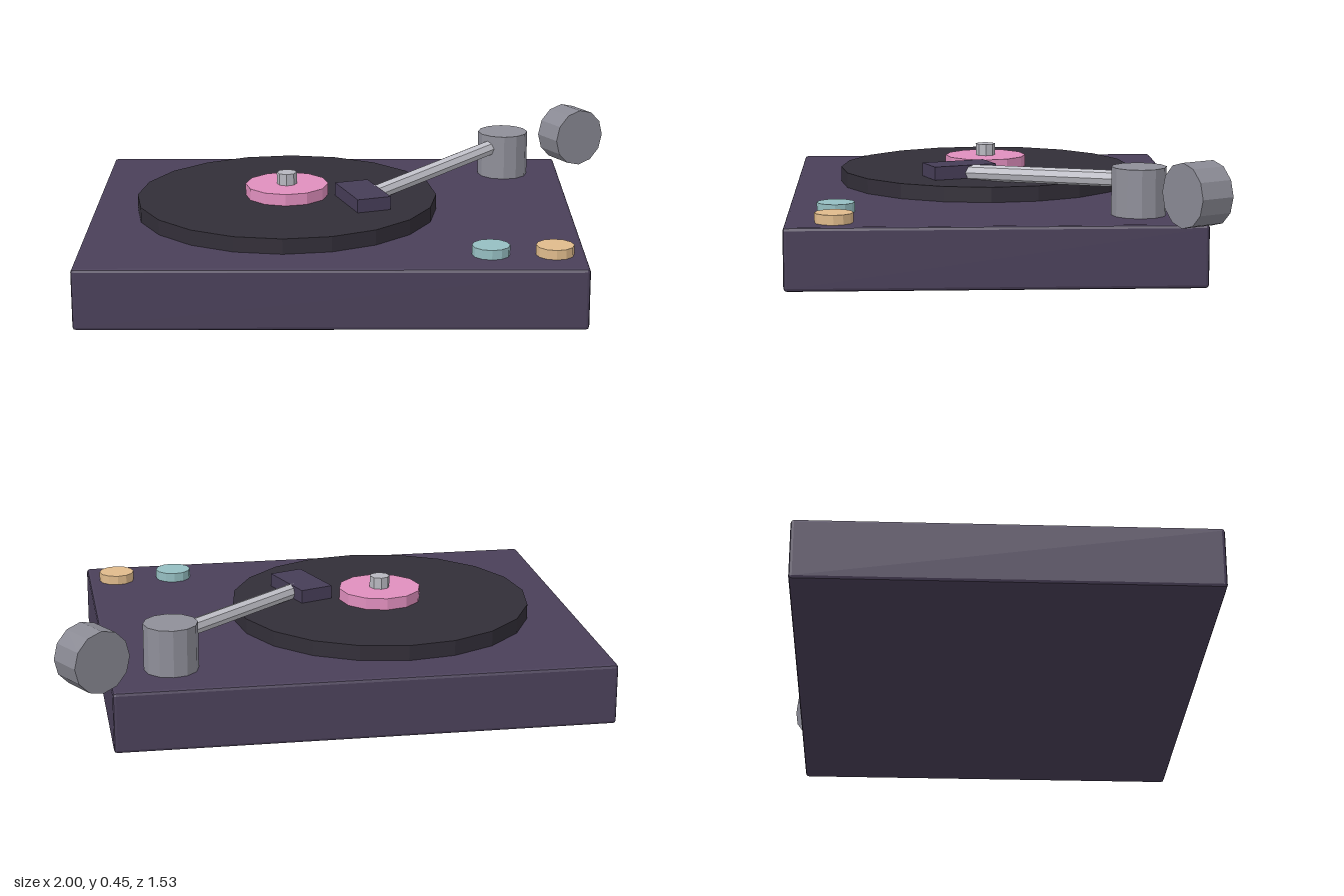
import * as THREE from 'three';
import { RoundedBoxGeometry } from 'three/addons/geometries/RoundedBoxGeometry.js';

export function createModel() {
  const model = new THREE.Group();
  model.name = 'turntable';

  const add = (name, geometry, color, x, y, z) => {
    const material = new THREE.MeshStandardMaterial({ color, flatShading: true });
    const mesh = new THREE.Mesh(geometry, material);
    mesh.name = name;
    mesh.position.set(x, y, z);
    model.add(mesh);
    return mesh;
  };
  // Upright disc from height y0 to y1
  const disc = (name, color, r, sides, x, y0, y1, z) =>
    add(name, new THREE.CylinderGeometry(r, r, y1 - y0, sides), color, x, (y0 + y1) / 2, z);
  // Cylinder between two points
  const rod = (name, color, r, sides, a, b) => {
    const dir = b.clone().sub(a);
    const mid = a.clone().add(b).multiplyScalar(0.5);
    const mesh = add(name, new THREE.CylinderGeometry(r, r, dir.length(), sides), color, mid.x, mid.y, mid.z);
    mesh.quaternion.setFromUnitVectors(new THREE.Vector3(0, 1, 0), dir.normalize());
    return mesh;
  };

  // Plinth with small chamfers
  add('plinth', new RoundedBoxGeometry(1.805, 0.225, 1.47, 1, 0.012), 0x4a4059, -0.0975, 0.1125, 0.03);

  // Record, its label and the spindle
  disc('record', 0x322e38, 0.565, 20, -0.27, 0.22, 0.282, 0.027);
  disc('label', 0xe08fbe, 0.156, 12, -0.27, 0.275, 0.326, 0.027);
  disc('spindle', 0xb8b8c0, 0.038, 8, -0.27, 0.32, 0.37, 0.027);

  // Tonearm: pivot post, arm, headshell
  disc('pivotPost', 0x8f8f99, 0.098, 12, 0.58, 0.22, 0.397, -0.482);
  rod('tonearm', 0xc4c4cc, 0.03, 8,
    new THREE.Vector3(0.02, 0.3, 0.135), new THREE.Vector3(0.58, 0.35, -0.482));
  add('headshell', new THREE.BoxGeometry(0.13, 0.05, 0.247), 0x463d57, 0.016, 0.308, 0.138)
    .rotation.y = 0.35;

  // Counterweight, lying on its side behind the post
  const weight = new THREE.CylinderGeometry(0.113, 0.113, 0.13, 12).rotateX(Math.PI / 2);
  add('counterweight', weight, 0x8a8a94, 0.868, 0.341, -0.65).rotation.y = Math.PI / 6;

  // Control knobs
  disc('leftKnob', 0xe0bb8c, 0.068, 12, 0.695, 0.22, 0.26, 0.592);
  disc('rightKnob', 0x96bfc2, 0.068, 12, 0.468, 0.22, 0.26, 0.592);

  return model;
}
